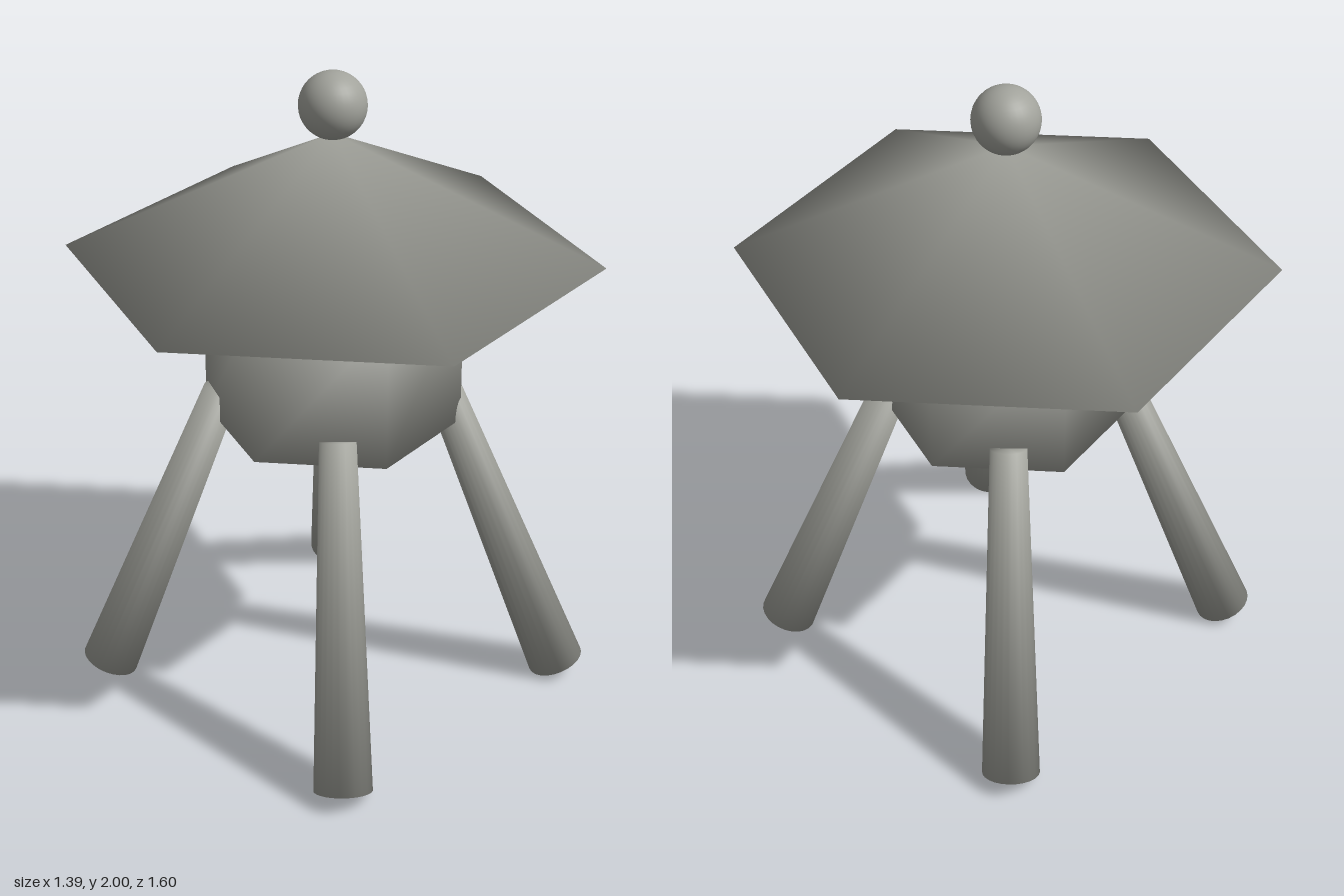
import * as THREE from 'three';
import { mergeVertices } from 'three/addons/utils/BufferGeometryUtils.js';

const material = new THREE.MeshStandardMaterial({ color: 0xa2a39c });

// Weld all corners and average face normals by corner angle, so shading runs smoothly across every edge
function softened(geometry) {
  geometry.deleteAttribute('uv');
  geometry.deleteAttribute('normal');
  const welded = mergeVertices(geometry, 1e-4);
  const { position } = welded.attributes;
  const index = welded.index;
  const normals = Array.from({ length: position.count }, () => new THREE.Vector3());
  for (let i = 0; i < index.count; i += 3) {
    const ids = [0, 1, 2].map((k) => index.getX(i + k));
    const corners = ids.map((id) => new THREE.Vector3().fromBufferAttribute(position, id));
    const faceNormal = new THREE.Triangle(...corners).getNormal(new THREE.Vector3());
    ids.forEach((id, k) => {
      const toNext = corners[(k + 1) % 3].clone().sub(corners[k]);
      const toLast = corners[(k + 2) % 3].clone().sub(corners[k]);
      normals[id].addScaledVector(faceNormal, toNext.angleTo(toLast));
    });
  }
  const flat = normals.flatMap((n) => n.normalize().toArray());
  welded.setAttribute('normal', new THREE.Float32BufferAttribute(flat, 3));
  return welded;
}

function part(name, geometry, y = 0) {
  const mesh = new THREE.Mesh(geometry, material);
  mesh.name = name;
  mesh.position.y = y;
  return mesh;
}

// Tapered leg between two points, thicker at the foot
function makeLeg(name, foot, top) {
  const axis = top.clone().sub(foot);
  const leg = part(name, softened(new THREE.CylinderGeometry(0.055, 0.088, axis.length(), 24)));
  leg.position.copy(foot).add(top).multiplyScalar(0.5);
  leg.quaternion.setFromUnitVectors(new THREE.Vector3(0, 1, 0), axis.normalize());
  return leg;
}

export function createModel() {
  const model = new THREE.Group();
  model.name = 'hut';

  // Hexagonal cabin, roof floating just above it, and ball on the peak
  model.add(part('cabin', softened(new THREE.CylinderGeometry(0.388, 0.388, 0.458, 6)), 1.142));
  model.add(part('roof', softened(new THREE.ConeGeometry(0.8, 0.385, 6)), 1.6225));
  model.add(part('finial', new THREE.SphereGeometry(0.1, 32, 20), 1.9));

  // Four splayed stilts, spaced slightly unevenly (degrees from +x towards +z)
  const legs = { frontLeftLeg: 51.3, frontRightLeg: 142.7, backRightLeg: 234.7, backLeftLeg: 324.9 };
  for (const [name, degrees] of Object.entries(legs)) {
    const a = THREE.MathUtils.degToRad(degrees);
    const at = (radius, y) => new THREE.Vector3(Math.cos(a) * radius, y, Math.sin(a) * radius);
    model.add(makeLeg(name, at(0.713, 0.033), at(0.337, 0.993)));
  }
  return model;
}
